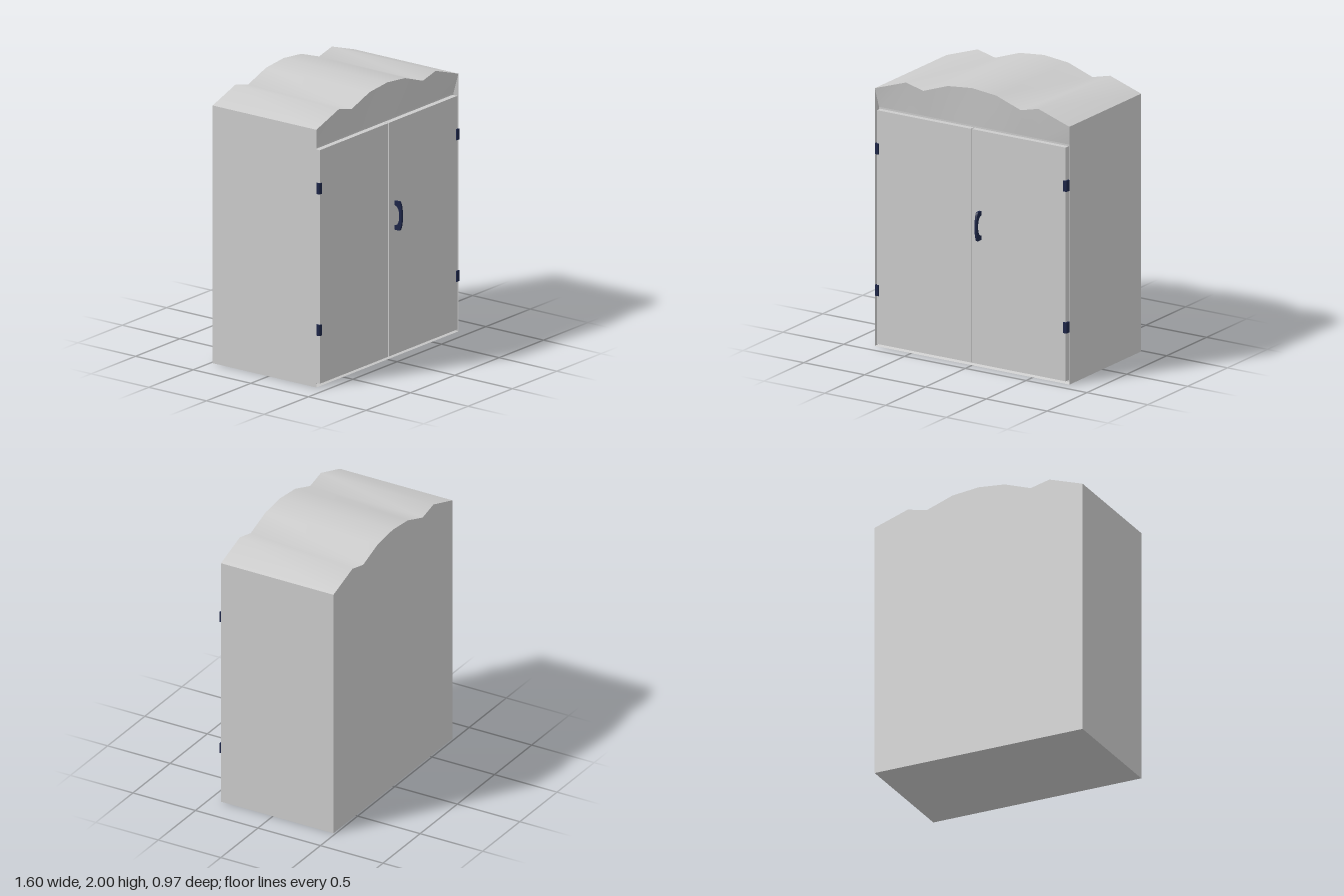
import * as THREE from 'three';

const FRONT = 0.415, BACK = -0.485, RECESS = 0.385;
const grey = new THREE.MeshStandardMaterial({ color: 0xcccccc });
const iron = new THREE.MeshStandardMaterial({ color: 0x1c2547 });

function add(parent, name, geometry, material, x = 0, y = 0, z = 0) {
  const mesh = new THREE.Mesh(geometry, material);
  mesh.name = name;
  mesh.position.set(x, y, z);
  parent.add(mesh);
  return mesh;
}

// Smooth surface between two rows of points
function strip(a, b) {
  const n = a.length, index = [];
  for (let i = 0; i < n - 1; i++) index.push(i, i + 1, n + i + 1, i, n + i + 1, n + i);
  const geometry = new THREE.BufferGeometry().setFromPoints([...a, ...b]);
  geometry.setIndex(index);
  geometry.computeVertexNormals();
  return geometry;
}

const atDepth = (points, z) => points.map(([x, y]) => new THREE.Vector3(x, y, z));

function box(parent, name, material, x0, x1, y0, y1, z0, z1) {
  return add(parent, name, new THREE.BoxGeometry(x1 - x0, y1 - y0, z1 - z0), material,
    (x0 + x1) / 2, (y0 + y1) / 2, (z0 + z1) / 2);
}

function createCabinet() {
  const cabinet = new THREE.Group();
  cabinet.name = 'cabinet';

  // Scalloped crown, mirrored about the middle
  const half = [[0.8, 1.86], [0.545, 1.945], [0.4, 1.91], [0.2, 1.98]];
  const crown = [...half.map(([x, y]) => [-x, y]), [0, 2], ...half.slice().reverse()];
  const w = 0.785, low = 0.01, high = 1.72;

  // Outer edges, and the matching edges of the recessed door opening
  const sides = [
    ['crown', crown, crown.map(([x]) => [x * w / 0.8, high])],
    ['leftSide', [[0.8, 1.86], [0.8, 0]], [[w, high], [w, low]]],
    ['base', [[0.8, 0], [-0.8, 0]], [[w, low], [-w, low]]],
    ['rightSide', [[-0.8, 0], [-0.8, 1.86]], [[-w, low], [-w, high]]],
  ];
  for (const [name, outer, inner] of sides) {
    add(cabinet, name, strip(atDepth(outer, FRONT), atDepth(outer, BACK)), grey);
    add(cabinet, name + 'FrontTrim', strip(atDepth(inner, RECESS), atDepth(outer, FRONT)), grey);
  }

  // Panel behind the doors
  add(cabinet, 'innerPanel', new THREE.PlaneGeometry(2 * w, high - low), grey, 0, (high + low) / 2, RECESS);

  // Back panel follows the crown outline
  const outline = [...crown, [0.8, 0], [-0.8, 0]].map(([x, y]) => new THREE.Vector2(x, y));
  const back = new THREE.ShapeGeometry(new THREE.Shape(outline));
  add(cabinet, 'backPanel', back, grey, 0, 0, BACK).rotation.y = Math.PI;
  return cabinet;
}

function createHandle() {
  // Side outline of the pull, horizontal axis pointing to the front
  const s = new THREE.Shape();
  s.moveTo(0.42, 0.922);
  s.lineTo(0.468, 0.922);
  s.quadraticCurveTo(0.487, 0.955, 0.487, 1.026);
  s.quadraticCurveTo(0.487, 1.1, 0.468, 1.13);
  s.lineTo(0.42, 1.13);
  s.lineTo(0.42, 1.1);
  s.bezierCurveTo(0.45, 1.1, 0.466, 1.07, 0.466, 1.026);
  s.bezierCurveTo(0.466, 0.98, 0.45, 0.952, 0.42, 0.952);
  s.closePath();
  const geometry = new THREE.ExtrudeGeometry(s, { depth: 0.016, bevelEnabled: false, curveSegments: 8 });
  geometry.translate(0, 0, -0.008);
  geometry.rotateY(-Math.PI / 2);
  return geometry;
}

export function createModel() {
  const model = new THREE.Group();
  model.name = 'wardrobe';
  model.add(createCabinet());

  // Pair of doors with two hinges each
  for (const [side, s] of [['left', 1], ['right', -1]]) {
    const span = (a, b) => (s > 0 ? [a, b] : [-b, -a]);
    box(model, side + 'Door', grey, ...span(0.003, 0.775), 0.022, 1.708, RECESS, 0.425);
    for (const [level, y] of [['Lower', 0.37], ['Upper', 1.392]]) {
      box(model, side + level + 'Hinge', iron, ...span(0.76, 0.788), y, y + 0.078, 0.395, 0.433);
    }
  }

  add(model, 'doorHandle', createHandle(), iron, 0.075);
  return model;
}
